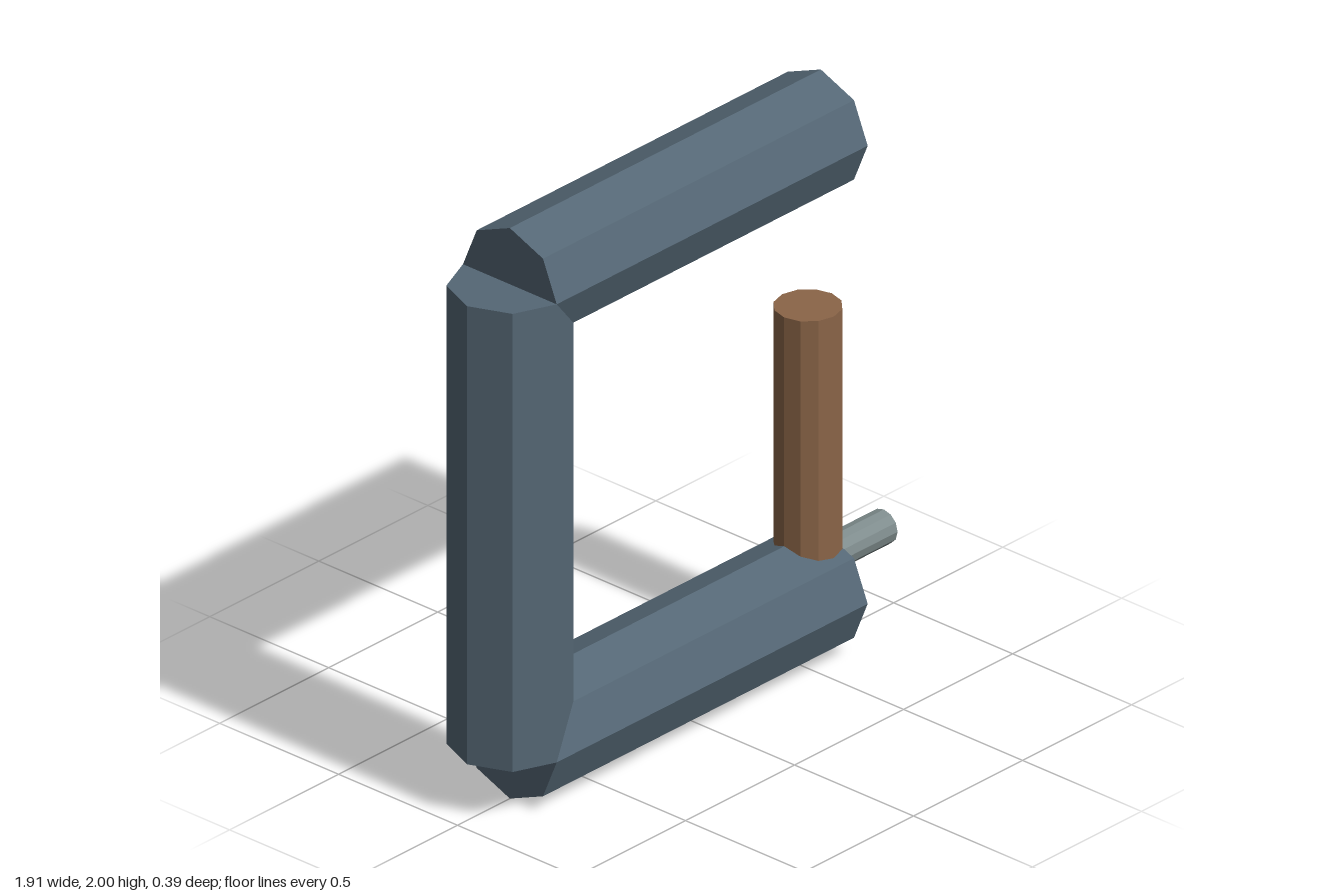
import * as THREE from 'three';

const material = (name, color) => {
  const m = new THREE.MeshStandardMaterial({ color, flatShading: true });
  m.name = name;
  return m;
};

export function createModel() {
  const group = new THREE.Group();
  const steel = material('blue grey steel', 0x556775);
  const wood = material('brown wood', 0x8b6548);
  const pinMetal = material('light grey metal', 0x7f8c8d);

  // Faceted rod from start to end along the x or y axis
  const rod = (name, mat, radius, sides, axis, from, to, x, y) => {
    const geometry = new THREE.CylinderGeometry(radius, radius, to - from, sides);
    if (axis === 'x') geometry.rotateZ(-Math.PI / 2);
    const mid = (from + to) / 2;
    geometry.translate(axis === 'x' ? mid : x, axis === 'y' ? mid : y, 0);
    const mesh = new THREE.Mesh(geometry, mat);
    mesh.name = name;
    group.add(mesh);
  };

  // Octagonal C-shaped frame
  const r = 0.197;
  rod('topBar', steel, r, 8, 'x', -0.76, 0.666, 0, 2 - r);
  rod('bottomBar', steel, r, 8, 'x', -0.76, 0.666, 0, r);
  rod('sidePost', steel, r, 8, 'y', r, 2 - r, -0.76, 0);

  // Upright handle with a short pin at its foot
  rod('handle', wood, 0.109, 12, 'y', 0.163, 1.196, 0.607, 0);
  rod('pin', pinMetal, 0.058, 12, 'x', 0.62, 0.955, 0, 0.287);

  return group;
}
